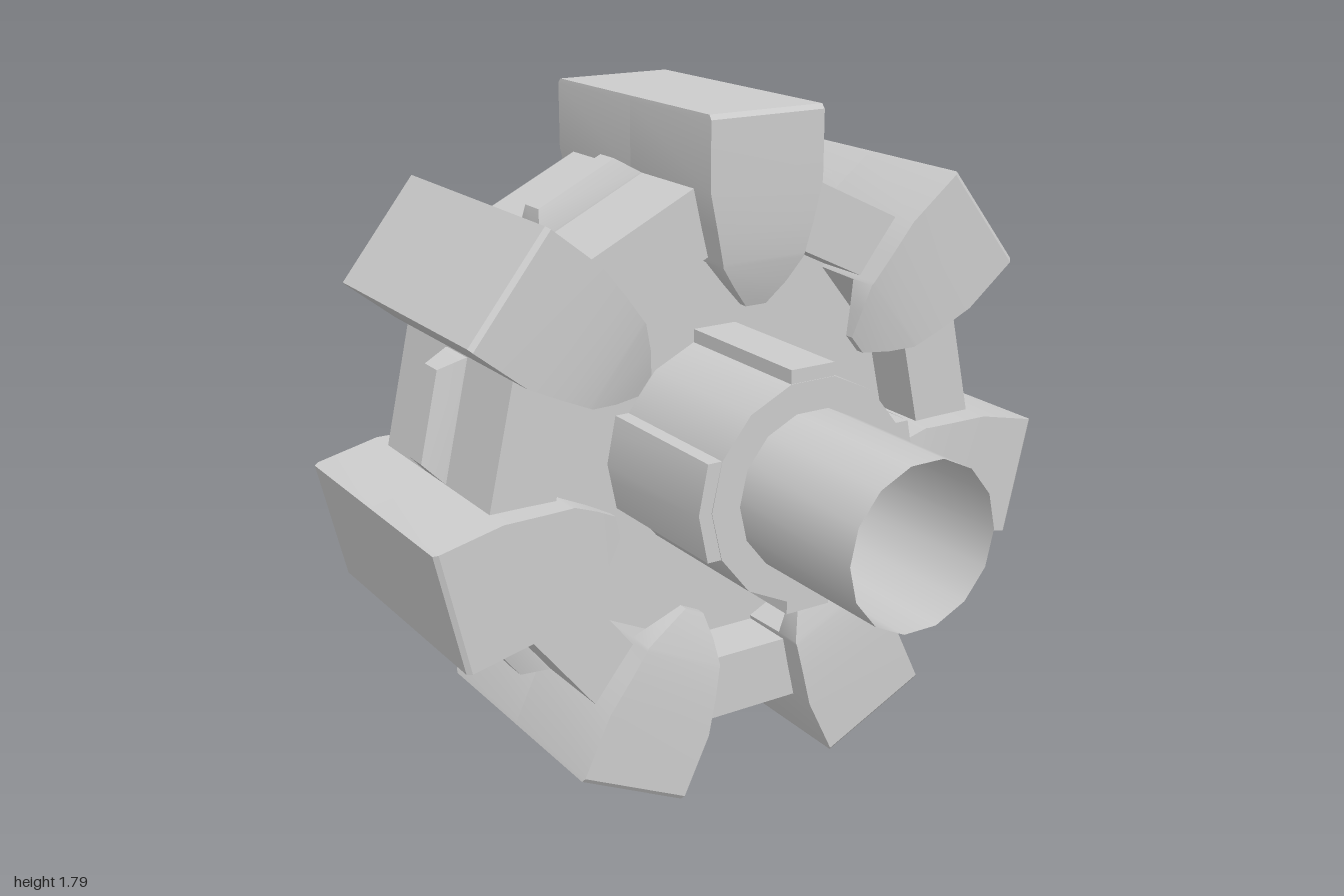
import * as THREE from 'three';
import { toCreasedNormals } from 'three/addons/utils/BufferGeometryUtils.js';

const COUNT = 7;        // poles around the rotor
const SIDES = 14;       // facets of the round parts
const CENTRE_Y = 0.887; // height of the shaft axis
const STEP = (Math.PI * 2) / COUNT;

const material = new THREE.MeshStandardMaterial({ color: 0xcccccc });
const thinMaterial = new THREE.MeshStandardMaterial({ color: 0xcccccc, side: THREE.DoubleSide });

function addMesh(parent, name, geometry, mat = material) {
  const mesh = new THREE.Mesh(geometry, mat);
  mesh.name = name;
  parent.add(mesh);
  return mesh;
}

// Solid from rectangular sections [radius, halfWidth, zInner, zOuter], radius rising.
function loft(sections) {
  const pos = [];
  const index = [];
  for (const [r, w, zi, zo] of sections) {
    pos.push(w, r, zi, w, r, zo, -w, r, zo, -w, r, zi);
  }
  for (let s = 0; s < sections.length - 1; s++) {
    for (let i = 0; i < 4; i++) {
      const j = (i + 1) % 4;
      const a = s * 4;
      const b = a + 4;
      index.push(a + i, b + i, b + j, a + i, b + j, a + j);
    }
  }
  const t = (sections.length - 1) * 4;
  index.push(0, 1, 2, 0, 2, 3, t, t + 3, t + 2, t, t + 2, t + 1);
  const g = new THREE.BufferGeometry();
  g.setAttribute('position', new THREE.Float32BufferAttribute(pos, 3));
  g.setIndex(index);
  return toCreasedNormals(g, 0.45);
}

// Outline in x,y extruded symmetrically about z = 0.
function slab(points, depth, hole) {
  const shape = new THREE.Shape(points);
  if (hole) shape.holes.push(new THREE.Path(hole));
  const g = new THREE.ExtrudeGeometry(shape, { depth, bevelEnabled: false });
  g.translate(0, 0, -depth / 2);
  return toCreasedNormals(g, 0.6);
}

function polygon(radius, sides) {
  return Array.from({ length: sides }, (_, i) => {
    const a = (i / sides) * Math.PI * 2;
    return new THREE.Vector2(Math.cos(a) * radius, Math.sin(a) * radius);
  });
}

const outline = (pairs) => pairs.map(([x, y]) => new THREE.Vector2(x, y));

export function createModel() {
  const model = new THREE.Group();
  const rotor = new THREE.Group();
  rotor.name = 'rotor';
  rotor.position.y = CENTRE_Y;
  model.add(rotor);

  // Hollow shaft
  const shaft = new THREE.CylinderGeometry(0.21, 0.21, 2, SIDES, 1, true, Math.PI / 2);
  shaft.rotateX(Math.PI / 2);
  addMesh(rotor, 'shaft', shaft, thinMaterial);

  // Hub sleeve and the web that carries the poles
  addMesh(rotor, 'hub', slab(polygon(0.29, SIDES), 1.14, polygon(0.209, SIDES)));
  addMesh(rotor, 'web', slab(polygon(0.6, SIDES * 2), 0.28, polygon(0.25, SIDES)));

  // Four keys along the hub
  const flatKey = slab(outline([[-0.064, 0.27], [0.064, 0.27], [0.064, 0.318], [-0.064, 0.318]]), 1.136);
  const bentKey = slab(outline([
    [0.25, -0.126], [0.3, -0.126], [0.326, 0], [0.3, 0.126], [0.25, 0.126], [0.28, 0],
  ]), 1.136);
  for (const turn of [0, Math.PI]) {
    addMesh(rotor, 'flatKey', flatKey).rotation.z = turn;
    addMesh(rotor, 'bentKey', bentKey).rotation.z = turn;
  }

  // Half of a pole: solid head whose end curves down to a pointed lip
  const poleHalf = loft([
    [0.415, 0.03, 0.3, 0.325],
    [0.47, 0.077, 0.295, 0.345],
    [0.53, 0.12, 0.28, 0.358],
    [0.54, 0.122, 0, 0.36],
    [0.62, 0.142, 0, 0.367],
    [0.72, 0.165, 0, 0.37],
    [0.893, 0.165, 0, 0.37],
    [0.905, 0.164, 0, 0.36],
  ]);

  // Spacer between poles, with a tapered rib on its outer face
  const spacerBlock = slab(outline([[-0.14, 0.545], [0.14, 0.545], [0.165, 0.72], [-0.165, 0.72]]), 0.59);
  const spacerRib = loft([
    [0.71, 0.163, -0.056, 0.056],
    [0.725, 0.16, -0.056, 0.056],
    [0.785, 0.12, -0.034, 0.034],
  ]);

  for (let i = 0; i < COUNT; i++) {
    const pole = new THREE.Group();
    pole.name = 'pole';
    pole.rotation.z = i * STEP;
    addMesh(pole, 'poleFrontHalf', poleHalf);
    addMesh(pole, 'poleBackHalf', poleHalf).rotation.y = Math.PI;
    rotor.add(pole);

    const spacer = new THREE.Group();
    spacer.name = 'spacer';
    spacer.rotation.z = (i + 0.5) * STEP;
    addMesh(spacer, 'spacerBlock', spacerBlock);
    addMesh(spacer, 'spacerRib', spacerRib);
    rotor.add(spacer);
  }
  return model;
}
